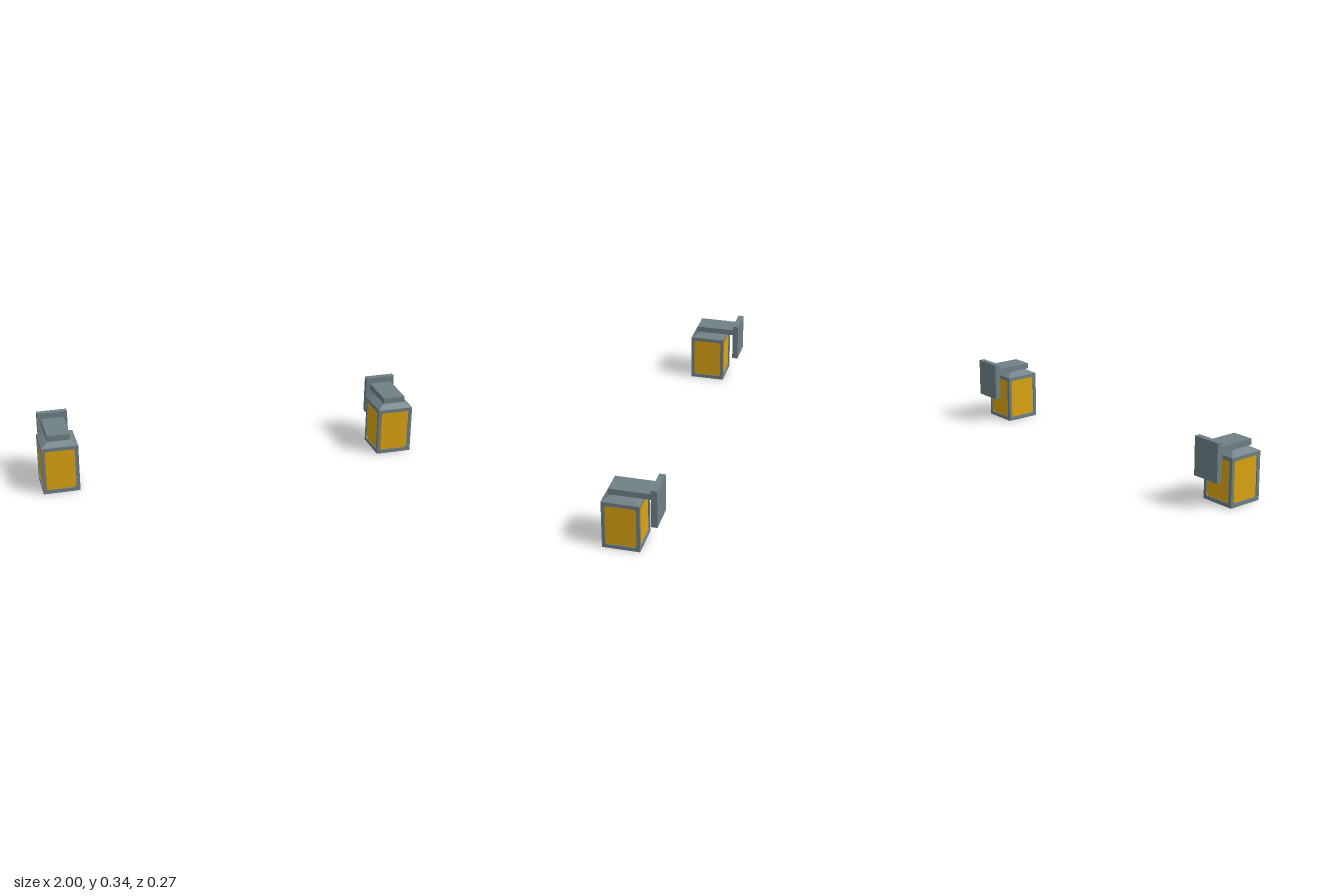
import * as THREE from 'three';

const metal = new THREE.MeshStandardMaterial({ color: 0x6f8187 });
metal.name = 'grey metal';
const amber = new THREE.MeshStandardMaterial({ color: 0xdca411 });
amber.name = 'amber glass';

const HALF = 0.0945;   // half width of the lantern body
const HEIGHT = 0.255;  // body height
const WALL = 0.012;    // frame thickness
const BODY_Z = 0.0415; // body centre, in front of the wall plate

function add(parent, name, geometry, material, x = 0, y = 0, z = 0) {
  const mesh = new THREE.Mesh(geometry, material);
  mesh.name = name;
  mesh.position.set(x, y, z);
  parent.add(mesh);
  return mesh;
}

const box = (w, h, d) => new THREE.BoxGeometry(w, h, d);

// Upright frame panel with a clipped-corner window opening
function framePanel(halfWidth) {
  const shape = new THREE.Shape([
    [-halfWidth, 0], [halfWidth, 0], [halfWidth, HEIGHT], [-halfWidth, HEIGHT],
  ].map(([x, y]) => new THREE.Vector2(x, y)));
  const w = 0.077, b = 0.02, t = 0.236, c = 0.008;
  shape.holes.push(new THREE.Path([
    [-w + c, b], [-w, b + c], [-w, t - c], [-w + c, t],
    [w - c, t], [w, t - c], [w, b + c], [w - c, b],
  ].map(([x, y]) => new THREE.Vector2(x, y))));
  return new THREE.ExtrudeGeometry(shape, { depth: WALL, bevelEnabled: false });
}

function createLantern(name) {
  const lantern = new THREE.Group();
  lantern.name = name;

  const body = new THREE.Group();
  body.name = 'body';
  body.position.z = BODY_Z;
  lantern.add(body);

  // Four frames; the side ones fit between the front and back ones
  ['frontFrame', 'leftFrame', 'backFrame', 'rightFrame'].forEach((label, i) => {
    const side = new THREE.Group();
    side.rotation.y = i * Math.PI / 2;
    body.add(side);
    add(side, label, framePanel(i % 2 ? HALF - WALL : HALF), metal, 0, 0, HALF - WALL);
  });

  // Glass core, slightly recessed, and the floor below it
  const glass = 2 * (HALF - 0.006);
  add(body, 'glass', box(glass, 0.228, glass), amber, 0, 0.128, 0);
  add(body, 'floor', box(2 * (HALF - WALL), 0.01, 2 * (HALF - WALL)), metal, 0, 0.005, 0);

  // Four-sided sloping roof
  const roof = new THREE.CylinderGeometry(0.048 * Math.SQRT2, HALF * Math.SQRT2, 0.025, 4, 1)
    .rotateY(Math.PI / 4).toNonIndexed();
  roof.computeVertexNormals();
  add(body, 'roof', roof, metal, 0, HEIGHT + 0.0125, 0);

  // Bracket arm and wall plate
  add(lantern, 'arm', box(0.118, 0.031, 0.213), metal, 0, 0.2955, 0.0025);
  add(lantern, 'wallPlate', box(0.157, 0.201, 0.031), metal, 0, 0.2425, -0.1195);
  return lantern;
}

export function createModel() {
  const model = new THREE.Group();
  model.name = 'wallLanterns';
  for (const side of [-1, 1]) {
    const lantern = createLantern(side > 0 ? 'leftLantern' : 'rightLantern');
    lantern.position.x = side * (1 - HALF);
    model.add(lantern);
  }
  return model;
}
